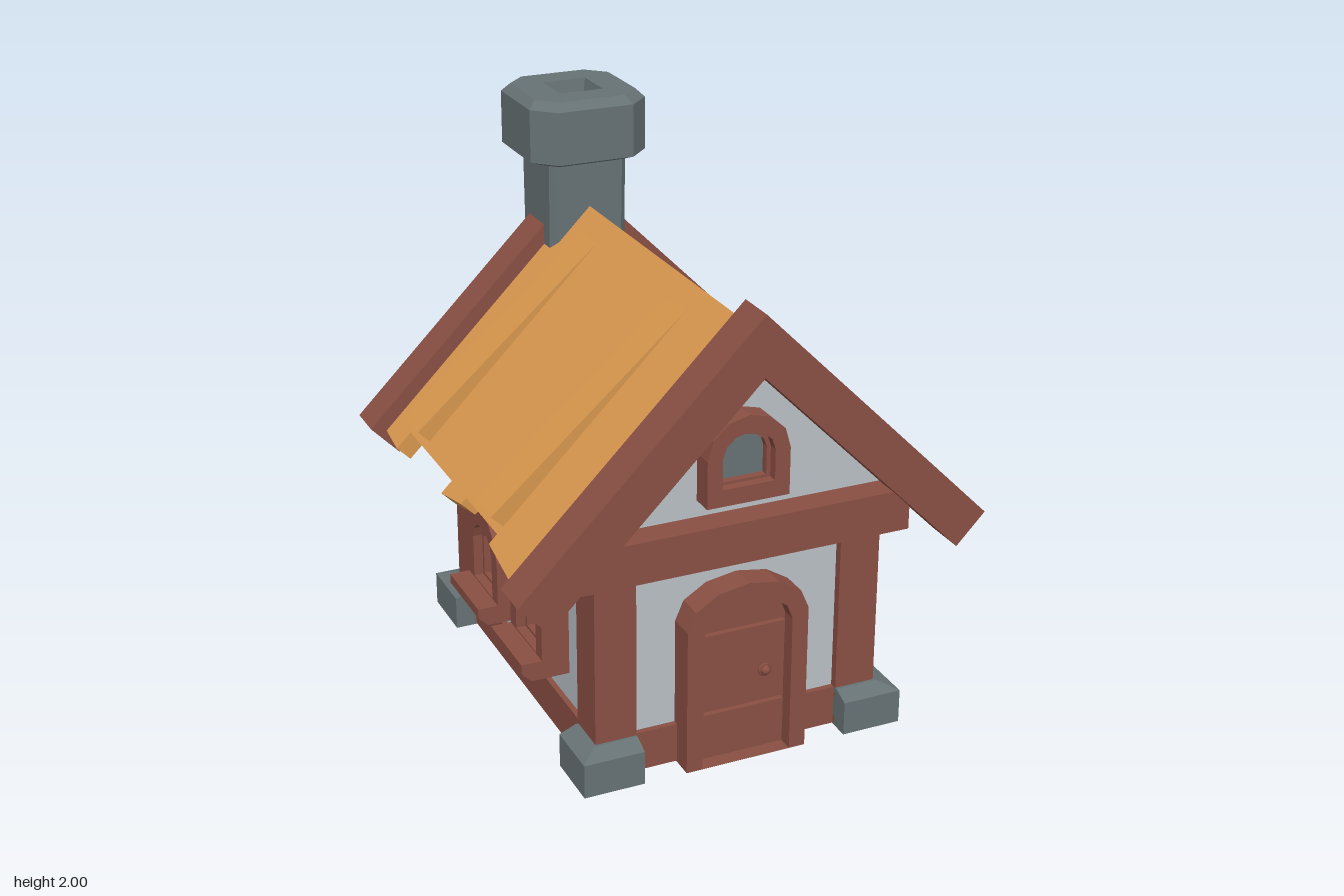
import * as THREE from 'three';
import { ConvexGeometry } from 'three/addons/geometries/ConvexGeometry.js';

const mat = (name, color) => {
  const m = new THREE.MeshStandardMaterial({ color });
  m.name = name;
  return m;
};

export function createModel() {
  const wood = mat('red wood', 0x8a4f43);
  const plaster = mat('pale plaster', 0xb9c0c5);
  const thatch = mat('ochre roof', 0xd9984e);
  const stone = mat('grey stone', 0x677275);

  const house = new THREE.Group();
  house.name = 'cottage';

  const add = (name, geo, material, parent = house) => {
    const m = new THREE.Mesh(geo, material);
    m.name = name;
    parent.add(m);
    return m;
  };

  // box given by its limits
  const box = (name, x0, x1, y0, y1, z0, z1, material, parent) => {
    const g = new THREE.BoxGeometry(x1 - x0, y1 - y0, z1 - z0);
    g.translate((x0 + x1) / 2, (y0 + y1) / 2, (z0 + z1) / 2);
    return add(name, g, material, parent);
  };

  // closed loft through chamfered rectangles [y, x0, x1, z0, z1, chamfer]
  const loft = (name, sections, material) => {
    const ring = ([y, x0, x1, z0, z1, c = 0]) => [
      [x1, y, z1 - c], [x1, y, z0 + c], [x1 - c, y, z0], [x0 + c, y, z0],
      [x0, y, z0 + c], [x0, y, z1 - c], [x0 + c, y, z1], [x1 - c, y, z1]];
    const point = ([y, x0, x1, z0, z1]) =>
      Array(8).fill([(x0 + x1) / 2, y, (z0 + z1) / 2]);
    const rings = [point(sections[0]), ...sections.map(ring), point(sections.at(-1))];
    const v = [];
    for (let i = 0; i + 1 < rings.length; i++) {
      for (let j = 0; j < 8; j++) {
        const k = (j + 1) % 8;
        const a = rings[i][j], b = rings[i][k], c = rings[i + 1][k], d = rings[i + 1][j];
        v.push(...a, ...b, ...c, ...a, ...c, ...d);
      }
    }
    const g = new THREE.BufferGeometry();
    g.setAttribute('position', new THREE.Float32BufferAttribute(v, 3));
    g.computeVertexNormals();
    return add(name, g, material);
  };

  const extrude = (shape, z0, z1) => {
    const g = new THREE.ExtrudeGeometry(shape, { depth: z1 - z0, bevelEnabled: false });
    return g.translate(0, 0, z0);
  };
  const polygon = pts => new THREE.Shape(pts.map(p => new THREE.Vector2(...p)));

  // faceted arch outline
  const archPoints = (w, y0, spring, top) => {
    const pts = [[-w, y0], [w, y0]];
    for (let i = 0; i <= 6; i++) {
      const a = Math.PI * i / 6;
      pts.push([w * Math.cos(a), spring + (top - spring) * Math.sin(a)]);
    }
    return pts;
  };
  const archFrame = (outer, inner) => {
    const s = polygon(archPoints(...outer));
    s.holes.push(polygon(archPoints(...inner)));
    return s;
  };

  // arched window facing +z, base at y = 0
  const windowUnit = (name, bottom) => {
    const g = new THREE.Group();
    g.name = name;
    const f = 0.31, b = bottom;
    add('windowFrame', extrude(archFrame([0.15, 0, 0.17, f], [0.095, b, 0.17, f - 0.06]), 0, 0.1), wood, g);
    add('innerFrame', extrude(archFrame([0.1, b - 0.005, 0.17, f - 0.055],
      [0.08, b + 0.01, 0.17, f - 0.08]), 0, 0.065), wood, g);
    add('windowPane', extrude(polygon(archPoints(0.085, b, 0.17, f - 0.075)), 0.03, 0.038), stone, g);
    house.add(g);
    return g;
  };

  // walls and gables in one house-shaped prism
  add('walls', extrude(polygon([[-0.5, 0.1], [0.5, 0.1], [0.5, 0.85], [0.59, 0.86],
    [0, 1.45], [-0.59, 0.86], [-0.5, 0.85]]), -0.555, 0.74), plaster);
  box('baseSill', -0.52, 0.52, 0.004, 0.15, -0.575, 0.76, wood);

  // corner posts on sloped foot stones
  for (const s of [-1, 1]) {
    const span = (a, b) => (s > 0 ? [a, b] : [-b, -a]);
    for (const [p0, p1, s0, s1] of [[0.615, 0.77, 0.62, 0.84], [-0.585, -0.43, -0.66, -0.43]]) {
      box('cornerPost', ...span(0.38, 0.53), 0.01, 0.78, p0, p1, wood);
      loft('footStone', [
        [0, ...span(0.38, 0.6), s0, s1],
        [0.125, ...span(0.38, 0.6), s0, s1],
        [0.15, ...span(0.38, 0.54), Math.max(s0, p0 - 0.01), Math.min(s1, p1 + 0.01)]], stone);
    }
  }

  // beam around the top of the walls, chamfered below
  loft('eavesBeam', [
    [0.73, -0.53, 0.53, -0.585, 0.77],
    [0.76, -0.6, 0.6, -0.66, 0.84],
    [0.86, -0.6, 0.6, -0.66, 0.84],
    [0.91, -0.56, 0.56, -0.66, 0.84]], wood);

  // gable boards
  const chevron = polygon([[0, 1.66], [-0.85, 0.81], [-0.745, 0.7], [0, 1.445], [0.745, 0.7], [0.85, 0.81]]);
  add('frontGableBoard', extrude(chevron, 0.77, 0.92), wood);
  add('backGableBoard', extrude(chevron, -0.735, -0.59), wood);

  // roof strips: [z0, z1, reach at z0, reach at z1, raised]
  const roofRight = [
    [-0.6, -0.44, 0.745, 0.745], [-0.44, -0.14, 0.77, 0.795], [-0.14, 0.01, 0.745, 0.745, true],
    [0.01, 0.46, 0.745, 0.745], [0.46, 0.61, 0.785, 0.765], [0.61, 0.78, 0.745, 0.745]];
  const roofLeft = [
    [-0.6, -0.44, 0.79, 0.8], [-0.44, -0.29, 0.745, 0.745, true], [-0.29, 0.01, 0.745, 0.745],
    [0.01, 0.16, 0.785, 0.765], [0.16, 0.31, 0.745, 0.745], [0.31, 0.46, 0.745, 0.745, true],
    [0.46, 0.78, 0.775, 0.8]];
  for (const [side, strips] of [[1, roofRight], [-1, roofLeft]]) {
    for (const [z0, z1, e0, e1, raised] of strips) {
      const pts = [], wedge = [];
      for (const [z, e] of [[z0, e0], [z1, e1]]) {
        for (const [x, y] of [[0, 1.585], [e, 1.585 - e], [e - 0.05, 1.535 - e], [0, 1.485]])
          pts.push(new THREE.Vector3(side * x, y, z));
        for (const [x, y] of [[0.065, 1.52], [0.765, 0.905], [0.695, 0.835], [0.065, 1.5]])
          wedge.push(new THREE.Vector3(side * x, y, z));
      }
      add('roofStrip', new ConvexGeometry(pts), thatch);
      if (raised) add('raisedPlank', new ConvexGeometry(wedge), thatch);
    }
  }

  // gable window
  windowUnit('gableWindow', 0.06).position.set(0, 0.97, 0.72);

  // side windows with sills
  for (const s of [-1, 1]) {
    for (const z of [0.32, -0.11]) {
      const w = windowUnit('sideWindow', 0.01);
      const sill = new THREE.ExtrudeGeometry(
        polygon([[0, -0.065], [0.14, -0.065], [0.175, -0.03], [0.175, 0.005], [0, 0.005]]),
        { depth: 0.3, bevelEnabled: false });
      sill.rotateY(-Math.PI / 2).translate(0.15, 0, 0);
      add('windowSill', sill, wood, w);
      w.position.set(s * 0.5, 0.325, z);
      w.rotation.y = s * Math.PI / 2;
    }
  }

  // front door
  const door = new THREE.Group();
  door.name = 'frontDoor';
  house.add(door);
  add('doorFrame', extrude(archFrame([0.225, 0, 0.54, 0.68], [0.165, 0.001, 0.51, 0.62]), 0.72, 0.84), wood, door);
  add('doorPanel', extrude(polygon(archPoints(0.166, 0.002, 0.51, 0.62)), 0.73, 0.785), wood, door);
  box('doorBar', -0.155, 0.155, 0.405, 0.49, 0.78, 0.805, wood, door);
  box('doorBar', -0.155, 0.155, 0.105, 0.185, 0.78, 0.805, wood, door);
  add('doorKnobRing', new THREE.TorusGeometry(0.02, 0.006, 6, 16), wood, door).position.set(0.09, 0.305, 0.79);
  const knob = add('doorKnob', new THREE.SphereGeometry(0.018, 12, 8), wood, door);
  knob.position.set(0.09, 0.305, 0.795);

  // chimney: hearth, shoulder, shaft
  loft('chimneyStack', [
    [0, -0.3, 0.3, -0.885, -0.5, 0.05],
    [0.58, -0.3, 0.3, -0.89, -0.5, 0.05],
    [0.605, -0.28, 0.28, -0.86, -0.5, 0.05],
    [0.63, -0.3, 0.3, -0.885, -0.5, 0.05],
    [0.76, -0.3, 0.3, -0.885, -0.5, 0.05],
    [0.91, -0.15, 0.15, -0.81, -0.51, 0.03],
    [1.205, -0.15, 0.15, -0.81, -0.51, 0.03],
    [1.23, -0.13, 0.13, -0.785, -0.53, 0.03],
    [1.255, -0.15, 0.15, -0.81, -0.51, 0.03],
    [1.76, -0.15, 0.15, -0.81, -0.51, 0.02]], stone);

  // chimney cap with a square flue
  const capRing = (y, h, c) => [y, -h, h, -0.663 - h, -0.663 + h, c];
  loft('chimneyCap', [
    capRing(1.75, 0.16, 0.04), capRing(1.775, 0.225, 0.08), capRing(1.97, 0.225, 0.08),
    capRing(2, 0.195, 0.07), capRing(2, 0.085, 0), capRing(1.9, 0.065, 0)], stone);

  // raised bricks on the back of the hearth
  for (const [x, y] of [[0, 0.35], [-0.062, 0.26], [0.062, 0.26]])
    box('brick', x - 0.057, x + 0.057, y - 0.042, y + 0.042, -0.918, -0.87, stone);

  return house;
}
